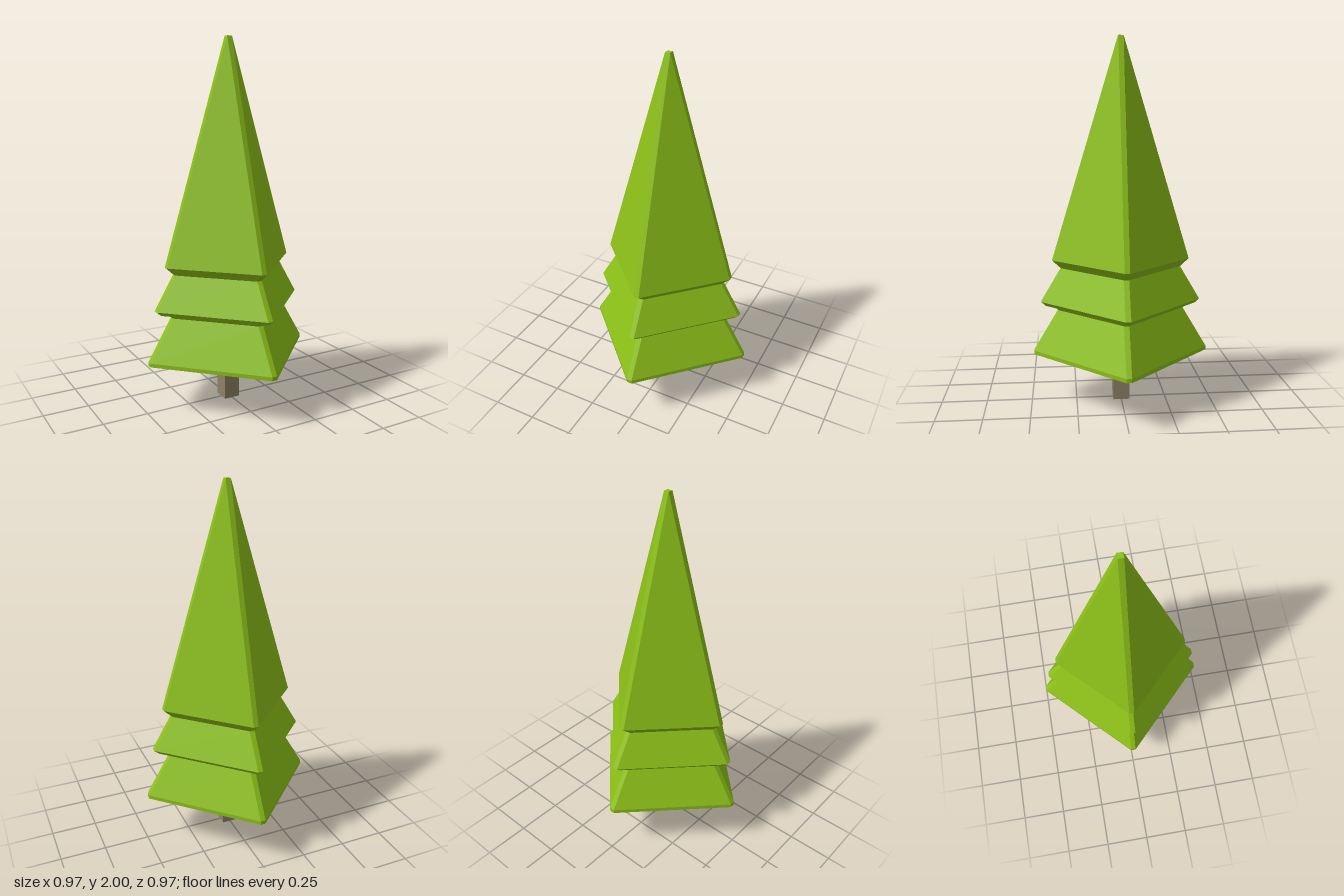
import * as THREE from 'three';

const CHAMFER = 0.014;

// Diamond with clipped corners, counter-clockwise seen from above
function ring(r, y) {
  const c = Math.min(CHAMFER, r);
  return [[r, -c], [r, c], [c, r], [-c, r], [-r, c], [-r, -c], [-c, -r], [c, -r]]
    .map(([x, z]) => new THREE.Vector3(x, y, -z));
}

// Joins the rings of a [radius, height] profile running from bottom to top
function loft(profile) {
  const rings = profile.map(([r, y]) => ring(r, y));
  const points = [];
  const addTriangle = (a, b, c) => {
    if (new THREE.Triangle(a, b, c).getArea() > 1e-9) points.push(a, b, c);
  };
  for (let k = 0; k < rings.length - 1; k++) {
    const low = rings[k], high = rings[k + 1];
    for (let i = 0; i < 8; i++) {
      const j = (i + 1) % 8;
      addTriangle(low[i], low[j], high[j]);
      addTriangle(low[i], high[j], high[i]);
    }
  }
  const geometry = new THREE.BufferGeometry().setFromPoints(points);
  geometry.computeVertexNormals();
  return geometry;
}

export function createModel() {
  const tree = new THREE.Group();
  tree.name = 'tree';

  // Three stacked tiers with undercut rims, closed at both ends
  const foliage = new THREE.Mesh(
    loft([
      [0, 0.267], [0.483, 0.267], [0.483, 0.288], // bottom rim
      [0.347, 0.517], [0.373, 0.543],
      [0.416, 0.543], [0.441, 0.565], // middle rim
      [0.33, 0.753], [0.378, 0.797], // upper rim
      [CHAMFER, 2], [0, 2], // tip
    ]),
    new THREE.MeshStandardMaterial({ color: 0x8cc018, flatShading: true })
  );
  foliage.name = 'foliage';
  tree.add(foliage);

  // Square trunk
  const trunk = new THREE.Mesh(
    new THREE.BoxGeometry(0.09, 0.267, 0.09),
    new THREE.MeshStandardMaterial({ color: 0x8f8068, flatShading: true })
  );
  trunk.name = 'trunk';
  trunk.position.y = 0.1335;
  tree.add(trunk);

  return tree;
}
